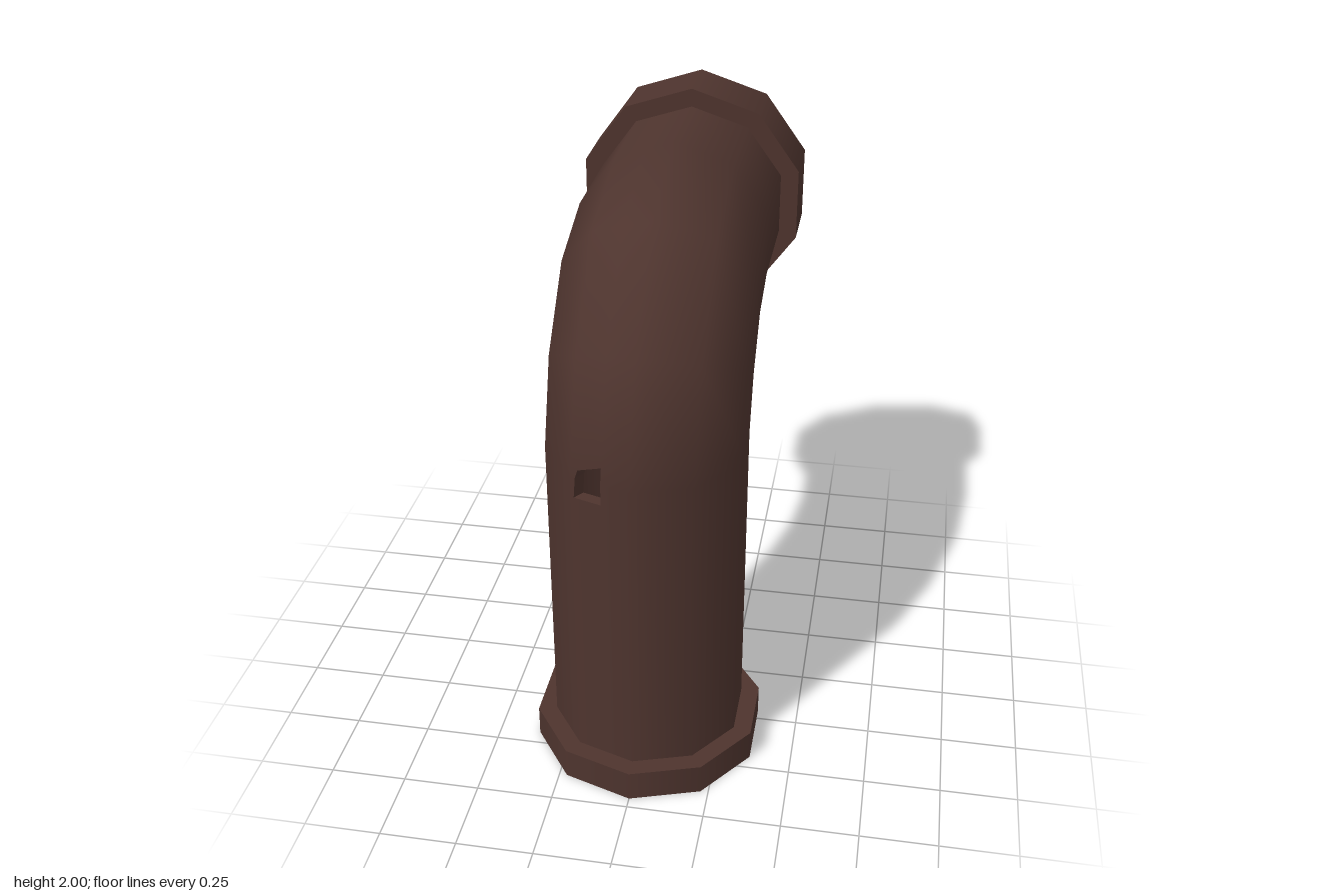
import * as THREE from 'three';
import { mergeGeometries } from 'three/addons/utils/BufferGeometryUtils.js';

const SIDES = 10;
const R_OUT = 0.32, R_IN = 0.28, R_COLLAR = 0.382, R_SOCKET = 0.332;

// Ring stations along the elbow: centre y, centre z, tilt in degrees
const stations = [
  [0.05, 0.33, 0], [1.14, 0.33, 0], [1.361, 0.25, 29],
  [1.548, 0.085, 60], [1.62, -0.13, 90], [1.62, -0.6, 90],
];

// Point and normal on one station ring; c counts sides, fractions lie on the flat side
function ringPoint(station, c, r) {
  const [y, z, deg] = station;
  const tilt = THREE.MathUtils.degToRad(deg);
  const corner = (k) => {
    const a = (k / SIDES) * Math.PI * 2;
    return new THREE.Vector3(Math.sin(a), Math.cos(a) * Math.sin(tilt), Math.cos(a) * Math.cos(tilt));
  };
  const k = Math.floor(c);
  const n = corner(k).lerp(corner(k + 1), c - k);
  return { p: n.clone().multiplyScalar(r).add(new THREE.Vector3(0, y, z)), n };
}

// Point and normal anywhere on the pipe; s counts stations
function pipePoint(s, c, r) {
  const i = Math.min(Math.floor(s), stations.length - 2);
  const a = ringPoint(stations[i], c, r), b = ringPoint(stations[i + 1], c, r);
  return { p: a.p.lerp(b.p, s - i), n: a.n.lerp(b.n, s - i).normalize() };
}

// Grid lines, with extra ones that frame the small break in the front
const cols = [0, 1, 2, 3, 4, 5, 6, 7, 8, 9, 9.05, 9.52, 10];
const rows = [0, 0.936, 1, 1.1, 2, 3, 4, 5];
const HOLE_COL = 10, HOLE_ROWS = [1, 2];

function gridPoint(j, i, r) {
  let s = rows[j], c = cols[i];
  if (j === 3 && i === HOLE_COL) { s = 1.07; c = 9.12; }
  if (j === 3 && i === HOLE_COL + 1) s = 1.137;
  if (j === 2 && i === HOLE_COL) c = 9.08;
  return pipePoint(s, c, r);
}

// One wall of the pipe, facing outward or inward
function pipeWall(r, inward) {
  const pos = [], nor = [], index = [], w = cols.length;
  rows.forEach((_, j) => cols.forEach((_, i) => {
    const { p, n } = gridPoint(j, i, r);
    pos.push(p.x, p.y, p.z);
    if (inward) n.negate();
    nor.push(n.x, n.y, n.z);
  }));
  for (let j = 0; j < rows.length - 1; j++) {
    for (let i = 0; i < w - 1; i++) {
      if (i === HOLE_COL && HOLE_ROWS.includes(j)) continue;
      const a = j * w + i, b = a + 1, d = a + w, c = d + 1;
      if (inward) index.push(a, d, b, b, d, c);
      else index.push(a, b, d, b, c, d);
    }
  }
  const g = new THREE.BufferGeometry();
  g.setAttribute('position', new THREE.Float32BufferAttribute(pos, 3));
  g.setAttribute('normal', new THREE.Float32BufferAttribute(nor, 3));
  g.setIndex(index);
  return g;
}

// Sides of the break, joining the outer wall to the inner wall
function breakEdges() {
  const L = HOLE_COL, R = L + 1;
  const loop = [[1, L], [1, R], [2, R], [3, R], [3, L], [2, L]];
  const pos = [];
  loop.forEach(([j, i], k) => {
    const [j2, i2] = loop[(k + 1) % loop.length];
    const p0 = gridPoint(j, i, R_OUT).p, p1 = gridPoint(j2, i2, R_OUT).p;
    const q0 = gridPoint(j, i, R_IN).p, q1 = gridPoint(j2, i2, R_IN).p;
    for (const v of [p0, p1, q1, p0, q1, q0]) pos.push(v.x, v.y, v.z);
  });
  const g = new THREE.BufferGeometry();
  g.setAttribute('position', new THREE.Float32BufferAttribute(pos, 3));
  g.computeVertexNormals();
  return g;
}

// Socket collar with its mouth at y = 0; each band is separate to keep edges sharp
function collar(height, depth) {
  const profile = [
    [R_IN, depth], [R_SOCKET, depth], [R_SOCKET, 0],
    [R_COLLAR, 0], [R_COLLAR, height], [R_OUT - 0.01, height],
  ].map(([x, y]) => new THREE.Vector2(x, y));
  const bands = [];
  for (let i = 0; i < profile.length - 1; i++) {
    bands.push(new THREE.LatheGeometry([profile[i], profile[i + 1]], SIDES));
  }
  return mergeGeometries(bands);
}

export function createModel() {
  const brown = new THREE.MeshStandardMaterial({ color: 0x4e342e });
  brown.name = 'rust brown';
  const model = new THREE.Group();
  model.name = 'pipeElbow';
  const add = (name, geometry) => {
    const mesh = new THREE.Mesh(geometry, brown);
    mesh.name = name;
    model.add(mesh);
    return mesh;
  };

  add('pipeOuterWall', pipeWall(R_OUT, false));
  add('pipeInnerWall', pipeWall(R_IN, true));
  add('breakEdges', breakEdges());

  add('bottomCollar', collar(0.105, 0.05)).position.set(0, 0, 0.33);

  const top = add('topCollar', collar(0.22, 0.11));
  top.rotation.x = Math.PI / 2;
  top.position.set(0, 1.618, -0.71);

  return model;
}
